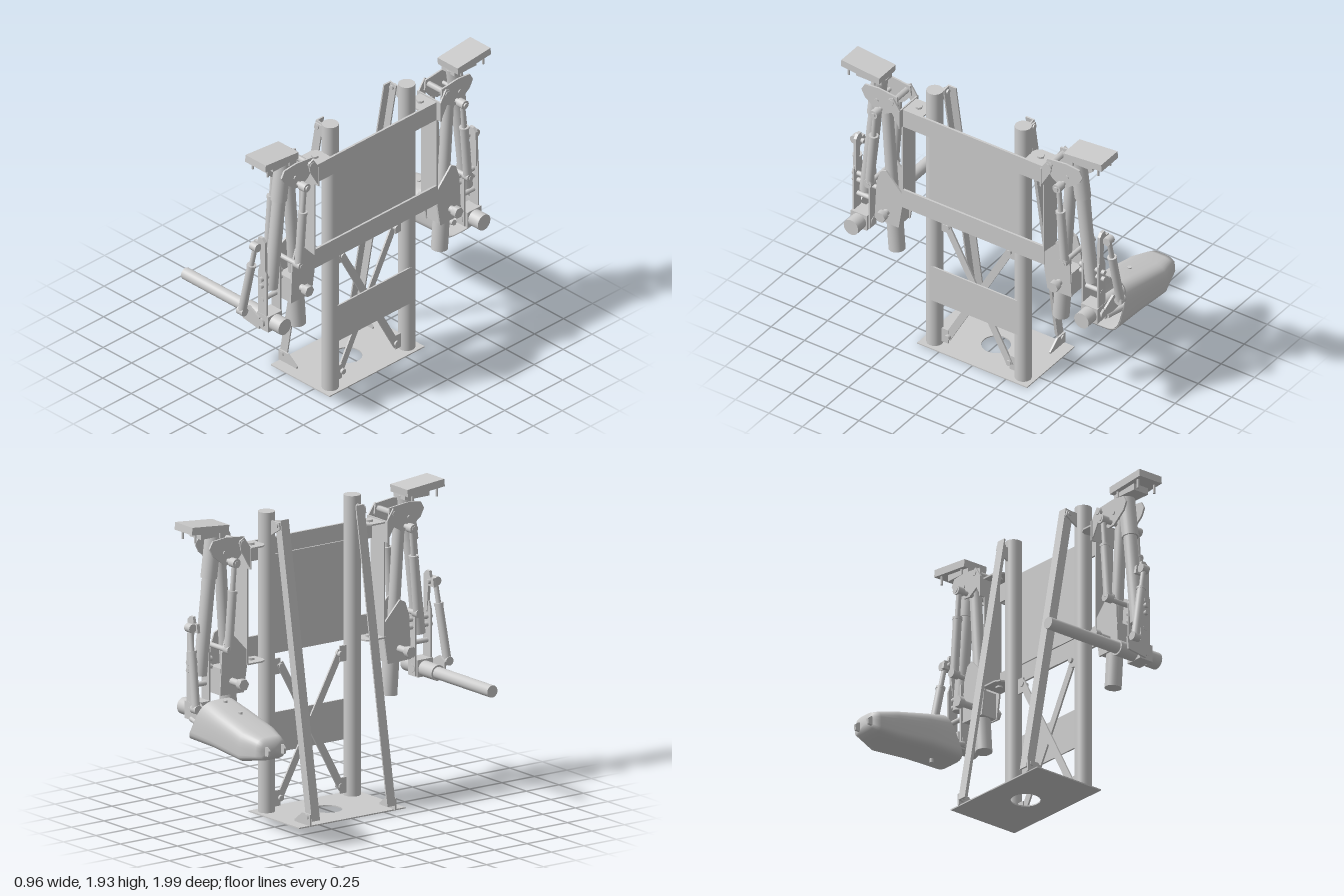
import * as THREE from 'three';

const mat = new THREE.MeshStandardMaterial({ color: 0xcccccc, side: THREE.DoubleSide });
const V = (p) => new THREE.Vector3(...p);

function add(parent, name, geo) {
  const m = new THREE.Mesh(geo, mat);
  m.name = name;
  parent.add(m);
  return m;
}

// Axis-aligned block given by its limits
function box(g, name, x0, x1, y0, y1, z0, z1) {
  const m = add(g, name, new THREE.BoxGeometry(Math.abs(x1 - x0), Math.abs(y1 - y0), Math.abs(z1 - z0)));
  m.position.set((x0 + x1) / 2, (y0 + y1) / 2, (z0 + z1) / 2);
  return m;
}

// Round bar between two points
function rod(g, name, a, b, r, sides = 24, r2 = r) {
  const A = V(a), B = V(b), d = B.clone().sub(A);
  const m = add(g, name, new THREE.CylinderGeometry(r2, r, d.length(), sides));
  m.position.copy(A).add(B).multiplyScalar(0.5);
  m.quaternion.setFromUnitVectors(new THREE.Vector3(0, 1, 0), d.normalize());
  return m;
}

const shapeOf = (pts) => new THREE.Shape(pts.map((p) => new THREE.Vector2(...p)));
const slab = (shape, depth) => new THREE.ExtrudeGeometry(shape, { depth, bevelEnabled: false, curveSegments: 32 });

// Plate facing x, outline in (z, y)
function plateX(g, name, pts, x, t) {
  const geo = slab(shapeOf(pts), t);
  geo.rotateY(-Math.PI / 2);
  geo.translate(x + t / 2, 0, 0);
  return add(g, name, geo);
}

// Plate facing z, outline in (x, y)
function plateZ(g, name, pts, z, t) {
  const geo = slab(shapeOf(pts), t);
  geo.translate(0, 0, z - t / 2);
  return add(g, name, geo);
}

// Plate facing y, outline in (x, z)
function plateY(g, name, shape, y, t) {
  const geo = slab(shape, t);
  geo.rotateX(Math.PI / 2);
  geo.translate(0, y + t, 0);
  return add(g, name, geo);
}

function buildFrame() {
  const g = new THREE.Group();
  g.name = 'frame';
  const base = shapeOf([[-0.13, -0.41], [0.385, -0.41], [0.385, 0.41], [-0.13, 0.41]]);
  base.holes.push(new THREE.Path().absarc(0.125, 0, 0.092, 0, Math.PI * 2, true));
  plateY(g, 'basePlate', base, 0, 0.008);

  // Panels and cross beams on the columns
  box(g, 'backPanel', 0.352, 0.363, 1.1, 1.62, -0.33, 0.33);
  box(g, 'lowerBand', 0.352, 0.363, 0.355, 0.612, -0.33, 0.33);
  for (const [y0, y1] of [[0.985, 1.12], [1.6, 1.728]]) {
    box(g, 'crossBeam', 0.362, 0.377, y0, y1, -0.53, 0.53);
  }

  for (const s of [1, -1]) {
    rod(g, 'column', [0.31, 0.004, s * 0.33], [0.31, 1.92, s * 0.33], 0.053, 32);

    // Angle-section rear strut with its foot and head lugs
    const a = [-0.11, 0.06], b = [0.2, 1.85];
    const len = Math.hypot(b[0] - a[0], b[1] - a[1]) + 0.06;
    const strut = new THREE.Group();
    strut.name = 'rearStrut';
    box(strut, 'strutWeb', -0.03, 0.03, -len / 2, len / 2, s * 0.312, s * 0.322);
    box(strut, 'strutFlange', -0.03, -0.02, -len / 2, len / 2, s * 0.26, s * 0.318);
    strut.rotation.z = -Math.atan2(b[0] - a[0], b[1] - a[1]);
    strut.position.set((a[0] + b[0]) / 2, (a[1] + b[1]) / 2, 0);
    g.add(strut);
    plateZ(g, 'footLug', [[-0.14, 0.005], [0.02, 0.005], [0.02, 0.02], [-0.06, 0.08], [-0.14, 0.08]], s * 0.328, 0.012);
    plateZ(g, 'headLug', [[0.17, 1.83], [0.27, 1.77], [0.27, 1.87], [0.18, 1.87]], s * 0.328, 0.012);
    for (const p of [a, b]) rod(g, 'strutBolt', [...p, s * 0.3], [...p, s * 0.342], 0.016, 16);

    // Crossed bars between the columns
    const bar = box(g, 'crossBrace', -0.006, 0.006, -0.5, 0.5, -0.024, 0.024);
    bar.rotation.x = s * Math.atan2(0.46, 0.84);
    bar.position.set(s > 0 ? 0.313 : 0.299, 0.5, 0.003);
    for (const e of [1, -1]) {
      const y = 0.5 + e * 0.42, z = s * e * 0.23;
      box(g, 'braceTab', 0.3, 0.312, y - 0.05, y + 0.05, z, s * e * 0.29);
      rod(g, 'braceBolt', [0.285, y, z], [0.33, y, z], 0.018, 16);
    }

    // Side plate, rounded lugs and bolts that carry the arm
    box(g, 'sidePlate', 0.24, 0.377, 0.985, 1.728, s * 0.522, s * 0.532);
    for (const y of [0.985, 1.718]) {
      const lug = shapeOf([[0.377, s * 0.385], [0.377, s * 0.53], [0.232, s * 0.53], [0.232, s * 0.42], [0.25, s * 0.39], [0.28, s * 0.378]]);
      plateY(g, 'armLug', lug, y, 0.01);
      rod(g, 'lugBolt', [0.302, y - 0.012, s * 0.455], [0.302, y + 0.024, s * 0.455], 0.024, 6);
    }
  }
  return g;
}

// Hydraulic piston: barrel at the bottom, thin rod and eye at the top
function piston(g, name, bottom, top, r, split) {
  const p = V(bottom).lerp(V(top), split).toArray();
  rod(g, name + 'Barrel', bottom, p, r);
  rod(g, name + 'Collar', V(bottom).lerp(V(top), split - 0.03).toArray(), p, r * 1.12);
  rod(g, name + 'Rod', p, top, r * 0.6, 16);
  for (const e of [bottom, top]) {
    rod(g, name + 'Eye', [e[0] - 0.026, e[1], e[2]], [e[0] + 0.026, e[1], e[2]], r * 1.05, 20);
  }
}

function buildArm(s) {
  const g = new THREE.Group();
  g.name = s > 0 ? 'leftArm' : 'rightArm';
  const P = (x, y, z) => [x, y, s * z];
  const mir = (pts) => pts.map(([z, y]) => [s * z, y]);

  // Head block and its studs
  const head = add(g, 'headBlock', new THREE.BoxGeometry(0.178, 0.048, 0.285));
  head.position.set(0.306, 1.897, s * 0.83);
  head.rotation.x = -s * 0.09;
  for (const x of [0.24, 0.37]) for (const z of [0.74, 0.93]) {
    rod(g, 'headStud', P(x, 1.89, z), P(x, 1.825, z), 0.008, 10);
  }
  box(g, 'headMount', 0.25, 0.365, 1.835, 1.88, s * 0.69, s * 0.88);

  // Outer arm tube with its upper sleeve
  rod(g, 'armSleeve', P(0.31, 1.86, 0.737), P(0.31, 1.565, 0.775), 0.052);
  rod(g, 'armTube', P(0.31, 1.6, 0.77), P(0.31, 0.955, 0.842), 0.043);

  // Elbow plates, pins and bracket to the frame
  for (const x of [0.238, 0.382]) {
    plateX(g, 'elbowPlate', mir([[0.56, 1.81], [0.553, 1.74], [0.6, 1.68], [0.66, 1.645], [0.71, 1.65], [0.8, 1.72], [0.825, 1.77], [0.8, 1.815], [0.7, 1.825]]), x, 0.012);
    plateX(g, 'shoulderBracket', mir([[0.525, 1.6], [0.525, 1.735], [0.575, 1.81], [0.61, 1.79], [0.6, 1.73]]), x < 0.3 ? 0.215 : 0.405, 0.01);
  }
  box(g, 'bracketBack', 0.205, 0.412, 1.6, 1.735, s * 0.523, s * 0.533);
  rod(g, 'elbowPin', P(0.205, 1.775, 0.585), P(0.415, 1.775, 0.585), 0.02, 6);
  rod(g, 'elbowBolt', P(0.225, 1.73, 0.71), P(0.395, 1.73, 0.71), 0.013, 12);
  rod(g, 'pistonTopPin', P(0.14, 1.675, 0.683), P(0.475, 1.675, 0.683), 0.016, 16);
  rod(g, 'pistonBottomPin', P(0.145, 1.125, 0.728), P(0.47, 1.125, 0.728), 0.016, 16);

  // Inner tube with bearing plates and lower cylinder
  rod(g, 'innerTube', P(0.31, 1.7, 0.69), P(0.31, 0.82, 0.63), 0.038);
  rod(g, 'lowerCylinder', P(0.31, 0.9, 0.634), P(0.31, 0.6, 0.612), 0.053);
  for (const x of [0.25, 0.37]) {
    plateX(g, 'bearingPlate', mir([[0.65, 1.21], [0.53, 1.08], [0.53, 0.975], [0.555, 0.815], [0.735, 0.82], [0.72, 1.1], [0.69, 1.19]]), x, 0.012);
  }
  box(g, 'bearingBlock', 0.25, 0.37, 0.82, 0.99, s * 0.56, s * 0.73);
  rod(g, 'bearingPin', P(0.13, 0.9, 0.645), P(0.45, 0.9, 0.645), 0.022, 20);
  for (const x of [0.14, 0.43]) rod(g, 'bearingNut', P(x - 0.02, 0.9, 0.645), P(x + 0.02, 0.9, 0.645), 0.038, 6);

  // Twin pistons beside the arm
  for (const x of [0.17, 0.44]) piston(g, 'armPiston', P(x, 1.13, 0.728), P(x, 1.675, 0.683), 0.028, 0.68);

  // Wrist yoke
  for (const z of [0.795, 0.912]) {
    const pts = [[0.275, 0.695], [0.348, 0.695], [0.348, 1.1], [0.33, 1.15], [0.29, 1.15], [0.275, 1.1]];
    plateZ(g, 'wristPlate', pts, s * z, 0.012);
  }
  for (const y of [1.0, 1.05]) rod(g, 'yokeBolt', P(0.31, y, 0.755), P(0.31, y, 0.94), 0.016, 12);
  rod(g, 'yokeSpacer', P(0.31, 0.9, 0.79), P(0.31, 0.9, 0.92), 0.016, 12);
  box(g, 'wristBlock', 0.265, 0.365, 0.685, 0.795, s * 0.8, s * 0.92);
  rod(g, 'wristCap', P(0.36, 0.737, 0.86), P(0.45, 0.737, 0.86), 0.054, 28);
  rod(g, 'wristPin', P(0.31, 0.737, 0.785), P(0.31, 0.737, 0.935), 0.03, 6);

  // Slanted wrist piston with its upper arm
  piston(g, 'wristPiston', P(0.185, 0.785, 0.968), P(0.275, 1.28, 0.943), 0.027, 0.72);
  plateZ(g, 'pistonHanger', [[0.23, 1.25], [0.29, 1.25], [0.305, 1.08], [0.34, 1.08], [0.335, 1.32], [0.31, 1.345], [0.28, 1.345], [0.27, 1.305], [0.24, 1.305]], s * 0.91, 0.02);
  rod(g, 'hangerPin', P(0.275, 1.28, 0.88), P(0.275, 1.28, 0.965), 0.016, 12);
  plateZ(g, 'wristCrank', [[0.15, 0.79], [0.16, 0.71], [0.3, 0.69], [0.3, 0.77], [0.21, 0.82]], s * 0.93, 0.014);
  return g;
}

// Long bar held by the left wrist
function buildBar() {
  const g = new THREE.Group();
  g.name = 'handBar';
  rod(g, 'longBar', [-0.425, 0.735, 0.856], [0.3, 0.735, 0.856], 0.039, 28);
  rod(g, 'barSleeve', [0.13, 0.735, 0.856], [0.27, 0.735, 0.856], 0.05, 28);
  return g;
}

// Hollow scoop held by the right wrist, lofted along x
function buildScoop() {
  const g = new THREE.Group();
  g.name = 'scoop';
  // x at top, x at bottom, half width, bottom, top
  const rings = [
    [-0.45, -0.45, 0.001, 0.645, 0.646], [-0.45, -0.45, 0.09, 0.585, 0.705],
    [-0.41, -0.4, 0.105, 0.575, 0.72], [-0.29, -0.28, 0.143, 0.548, 0.752],
    [-0.05, 0, 0.145, 0.572, 0.812], [0.1, 0.25, 0.14, 0.575, 0.85],
    [0.1, 0.25, 0.13, 0.585, 0.84], [-0.05, 0, 0.135, 0.582, 0.802], [-0.28, -0.27, 0.133, 0.558, 0.742],
  ];
  const N = 32, pos = [], idx = [];
  rings.forEach(([xt, xb, w, y0, y1], i) => {
    for (let j = 0; j < N; j++) {
      const a = (j / N) * Math.PI * 2, c = Math.cos(a), s = Math.sin(a);
      const sq = (v, e) => Math.sign(v) * Math.abs(v) ** e;
      const v = (sq(s, s < 0 ? 0.4 : 0.75) + 1) / 2;
      pos.push(xb + (xt - xb) * v, y0 + (y1 - y0) * v, -0.85 + w * sq(c, 0.5) + (v - 0.5) * 0.01);
      if (i) {
        const k = (j + 1) % N, p = (i - 1) * N, q = i * N;
        idx.push(p + j, q + j, p + k, p + k, q + j, q + k);
      }
    }
  });
  let geo = new THREE.BufferGeometry();
  geo.setAttribute('position', new THREE.Float32BufferAttribute(pos, 3));
  geo.setIndex(idx);
  geo.computeVertexNormals();
  add(g, 'scoopShell', geo);

  // Tail prongs, studs and inner stem
  for (const z of [-0.905, -0.785]) {
    plateZ(g, 'tailProng', [[-0.43, 0.61], [-0.48, 0.615], [-0.485, 0.65], [-0.46, 0.67], [-0.43, 0.67]], z, 0.016);
  }
  for (const x of [-0.1, 0.055]) rod(g, 'topStud', [x, 0.77, -0.84], [x, x < 0 ? 0.81 : 0.85, -0.84], 0.014, 12);
  rod(g, 'bottomStud', [0.09, 0.545, -0.85], [0.09, 0.6, -0.85], 0.012, 12);
  rod(g, 'scoopStem', [-0.1, 0.68, -0.85], [0.3, 0.735, -0.85], 0.04);
  for (const z of [-0.93, -0.77]) rod(g, 'scoopRib', [0.02, 0.64, z], [0.28, 0.7, z], 0.018, 12);
  return g;
}

export function createModel() {
  const model = new THREE.Group();
  model.name = 'armRig';
  model.add(buildFrame(), buildArm(1), buildArm(-1), buildBar(), buildScoop());
  return model;
}
